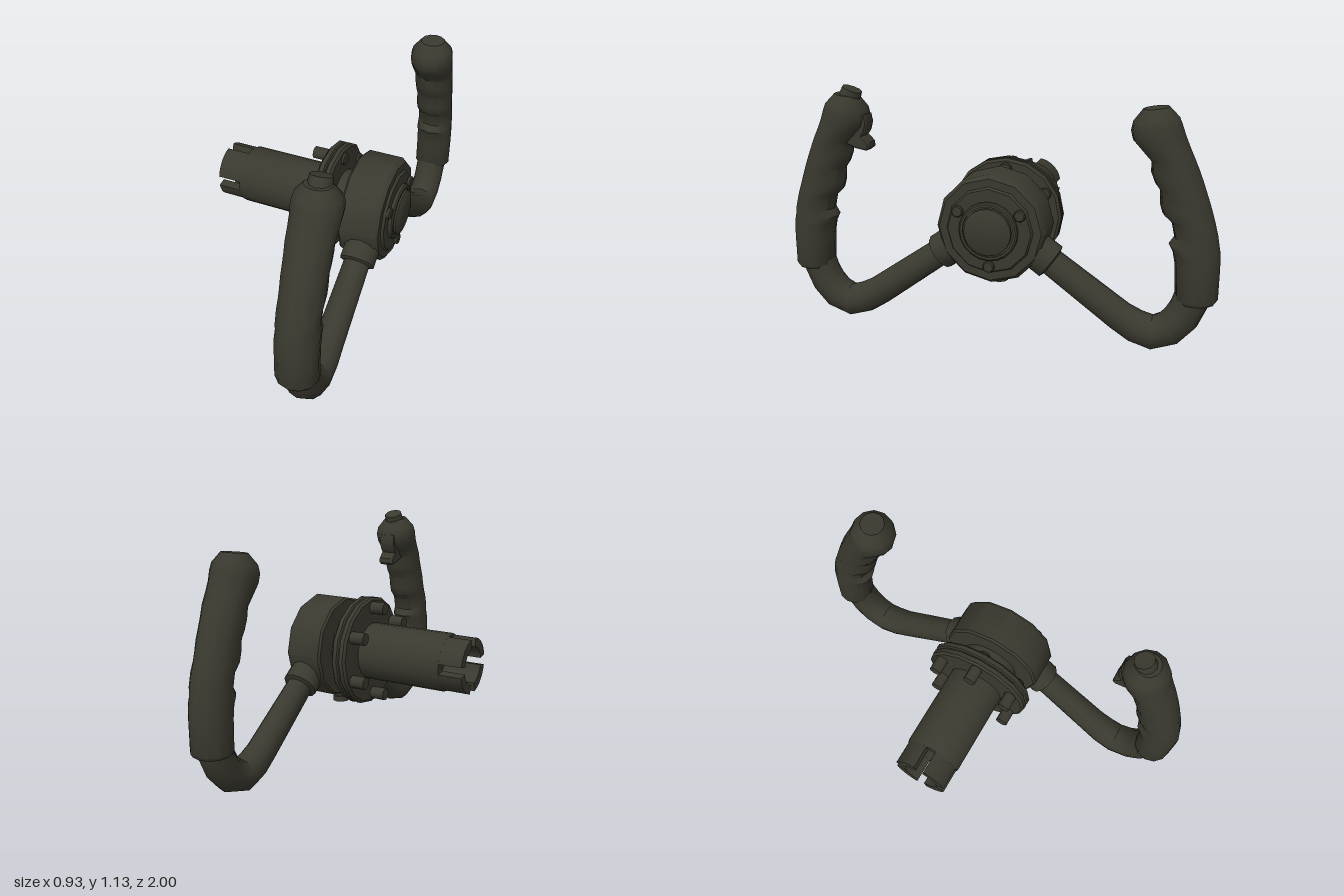
import * as THREE from 'three';
import { toCreasedNormals } from 'three/addons/utils/BufferGeometryUtils.js';

const HUB_Y = 0.518, TUBE_X = 0.335, CREASE = 0.68;

export function createModel() {
  const model = new THREE.Group();
  model.name = 'controlYoke';
  const olive = new THREE.MeshStandardMaterial({ color: 0x3a392f });
  olive.name = 'dark olive';

  const add = (name, geometry, parent = model) => {
    const mesh = new THREE.Mesh(toCreasedNormals(geometry, CREASE), olive);
    mesh.name = name;
    parent.add(mesh);
    return mesh;
  };

  // Turned part around the x axis; profile points are [radius, x]
  const turned = (name, profile, sides, y = HUB_Y, z = 0) => {
    const g = new THREE.LatheGeometry(profile.map(p => new THREE.Vector2(...p)), sides);
    g.rotateZ(-Math.PI / 2).translate(0, y, z);
    return add(name, g);
  };
  const rod = (name, r, x0, x1, y, z, sides = 10) =>
    turned(name, [[0, x0], [r, x0], [r, x1 - 0.005], [r - 0.005, x1], [0, x1]], sides, y, z);

  // Skin elliptical sections, each [outerZ, outerY, innerZ, innerY, halfWidthX]
  const loft = (sections, side, n = 12) => {
    const pos = [], idx = [];
    const tri = (a, b, c) => (side > 0 ? idx.push(a, b, c) : idx.push(a, c, b));
    for (const [oz, oy, iz, iy, hx] of sections) {
      for (let j = 0; j < n; j++) {
        const t = j / n * Math.PI * 2, c = Math.cos(t) / 2;
        pos.push(TUBE_X + hx * Math.sin(t), (oy + iy) / 2 + (oy - iy) * c,
          side * ((oz + iz) / 2 + (oz - iz) * c));
      }
    }
    const last = sections.length - 1;
    for (let i = 0; i < last; i++) {
      for (let j = 0; j < n; j++) {
        const k = (j + 1) % n, a = i * n + j, b = i * n + k;
        tri(a, b, b + n);
        tri(a, b + n, a + n);
      }
    }
    for (let j = 1; j < n - 1; j++) {
      tri(0, j + 1, j);
      tri(last * n, last * n + j, last * n + j + 1);
    }
    const g = new THREE.BufferGeometry();
    g.setAttribute('position', new THREE.Float32BufferAttribute(pos, 3));
    g.setIndex(idx);
    return g;
  };

  // Shaft with a hollow, slotted end
  turned('shaft', [[0, -0.28], [0.09, -0.28], [0.09, -0.35], [0.134, -0.35],
    [0.14, -0.34], [0.14, 0.23]], 20);
  const gap = 0.19;
  for (let q = 0; q < 4; q++) {
    const a0 = q * Math.PI / 2 + gap, a1 = (q + 1) * Math.PI / 2 - gap;
    const s = new THREE.Shape();
    s.absarc(0, 0, 0.133, a0, a1, false);
    s.absarc(0, 0, 0.09, a1, a0, true);
    const g = new THREE.ExtrudeGeometry(s, { depth: 0.116, bevelEnabled: false, curveSegments: 5 });
    g.rotateY(Math.PI / 2).translate(-0.465, HUB_Y, 0);
    add('shaftTooth', g);
  }

  // Double flange with a groove between the plates, and its bolts
  turned('flange', [[0, 0.075], [0.255, 0.075], [0.267, 0.085], [0.267, 0.105], [0.258, 0.11],
    [0.258, 0.115], [0.267, 0.12], [0.267, 0.14], [0.255, 0.15], [0, 0.15]], 16);
  for (let i = 0; i < 6; i++) {
    const a = Math.PI / 2 + i * Math.PI / 3;
    rod('flangeBolt', 0.03, 0.002, 0.165, HUB_Y + 0.218 * Math.sin(a), 0.218 * Math.cos(a));
  }

  // Hub housing with stepped face and round centre cap
  turned('hub', [[0, 0.225], [0.243, 0.225], [0.252, 0.235], [0.252, 0.4], [0.236, 0.42],
    [0.2, 0.42], [0.192, 0.432], [0, 0.432]], 12);
  turned('hubCap', [[0, 0.425], [0.135, 0.425], [0.135, 0.447], [0.128, 0.453], [0.117, 0.453],
    [0.117, 0.444], [0.108, 0.444], [0.108, 0.46], [0.1, 0.465], [0, 0.465]], 20);
  for (let i = 0; i < 3; i++) {
    const a = -Math.PI / 2 + i * Math.PI * 2 / 3;
    rod('hubScrew', 0.027, 0.42, 0.449, HUB_Y + 0.165 * Math.sin(a), 0.165 * Math.cos(a));
  }

  // Drain screw under the hub
  add('drainStem', new THREE.CylinderGeometry(0.03, 0.03, 0.05, 10).translate(0.265, 0.27, 0));
  add('drainHead', new THREE.CylinderGeometry(0.042, 0.042, 0.027, 10).translate(0.265, 0.243, 0));

  // Arm centre line: z, y, heading in degrees, radius
  const arm = [
    [0.15, 0.447, -36, 0.085], [0.262, 0.367, -36, 0.085], [0.268, 0.363, -36, 0.063],
    [0.58, 0.14, -36, 0.07], [0.65, 0.1, -22, 0.075], [0.725, 0.078, 0, 0.078],
    [0.8, 0.108, 35, 0.079], [0.85, 0.165, 60, 0.079], [0.88, 0.23, 82, 0.079], [0.9, 0.3, 90, 0.079],
  ].map(([z, y, deg, r]) => {
    const a = deg * Math.PI / 180, dz = r * Math.sin(a), dy = -r * Math.cos(a);
    return [z + dz, y + dy, z - dz, y - dy, r];
  });

  // Grip sections with finger grooves on the inner edge
  const grip = [
    [0.99, 0.248, 0.825, 0.248, 0.088], [1.0, 0.262, 0.816, 0.262, 0.096],
    [1.0, 0.4, 0.808, 0.41, 0.096], [0.998, 0.47, 0.797, 0.465, 0.096],
    [0.99, 0.51, 0.778, 0.5, 0.095], [0.983, 0.55, 0.8, 0.535, 0.094],
    [0.967, 0.61, 0.785, 0.6, 0.094], [0.955, 0.65, 0.745, 0.635, 0.095],
    [0.942, 0.69, 0.733, 0.675, 0.095], [0.924, 0.74, 0.73, 0.735, 0.096],
    [0.908, 0.785, 0.708, 0.765, 0.097], [0.89, 0.83, 0.69, 0.81, 0.098],
    [0.868, 0.88, 0.688, 0.86, 0.1], [0.845, 0.93, 0.645, 0.905, 0.102],
    [0.826, 0.975, 0.608, 0.945, 0.105], [0.81, 1.02, 0.598, 0.985, 0.108],
    [0.797, 1.05, 0.606, 1.025, 0.1], [0.755, 1.092, 0.645, 1.078, 0.06],
  ];
  for (const side of [1, -1]) {
    const label = side > 0 ? 'front' : 'rear';
    add(label + 'Arm', loft(arm, side));
    add(label + 'Grip', loft(grip, side));
  }

  // Thumb button on the front grip
  const button = add('thumbButton', new THREE.CylinderGeometry(0.047, 0.053, 0.06, 10));
  button.position.set(TUBE_X, 1.082, 0.683);
  button.rotation.x = -0.38;

  // Trigger below the button, drawn in z and y
  const trigger = new THREE.Shape([[0.7, 1.0], [0.6, 1.0], [0.592, 0.96], [0.603, 0.92],
    [0.617, 0.9], [0.588, 0.87], [0.586, 0.845], [0.6, 0.833], [0.65, 0.842], [0.72, 0.87],
  ].map(p => new THREE.Vector2(-p[0], p[1])));
  const tg = new THREE.ExtrudeGeometry(trigger, {
    depth: 0.06, bevelThickness: 0.012, bevelSize: 0.006, bevelOffset: -0.006, bevelSegments: 2 });
  tg.rotateY(Math.PI / 2).translate(TUBE_X - 0.03, 0, 0);
  add('trigger', tg);

  return model;
}
